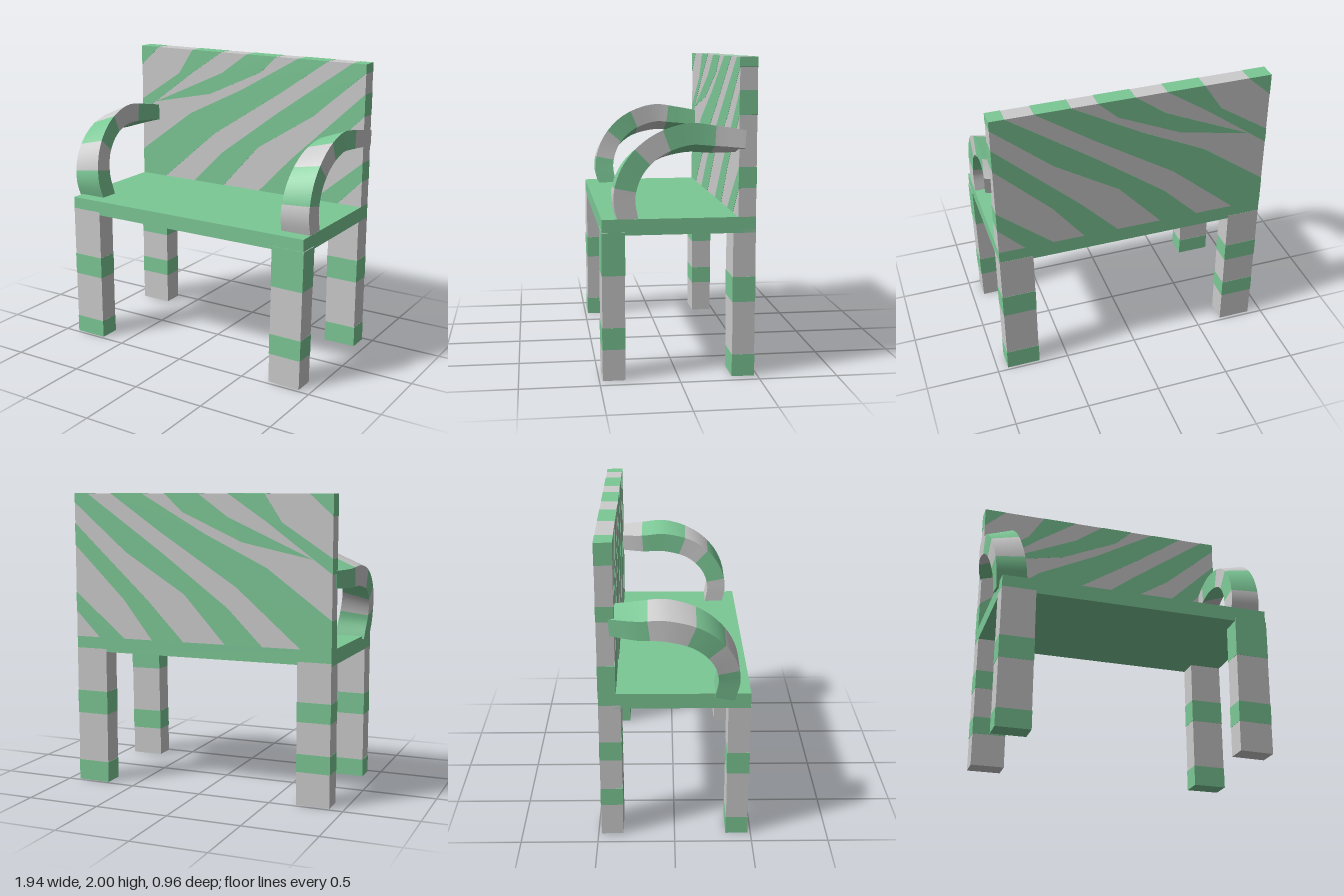
import * as THREE from 'three';
import { toCreasedNormals } from 'three/addons/utils/BufferGeometryUtils.js';

const grey = new THREE.MeshStandardMaterial({ color: 0xcccccc });
const green = new THREE.MeshStandardMaterial({ color: 0x7cc896 });

// Box given by its minimum and maximum corners
function box(name, [x0, y0, z0], [x1, y1, z1], material) {
  const mesh = new THREE.Mesh(new THREE.BoxGeometry(x1 - x0, y1 - y0, z1 - z0), material);
  mesh.position.set((x0 + x1) / 2, (y0 + y1) / 2, (z0 + z1) / 2);
  mesh.name = name;
  return mesh;
}

// Straight leg hanging from its top, with painted bands
function leg(name, x, z, bands, tilt = 0) {
  const H = 0.94, w = 0.1125, d = 0.071, e = 0.0015;
  const group = new THREE.Group();
  group.name = name;
  group.add(box('legPost', [-w, -H, -d], [w, 0, d], grey));
  for (const [a, b] of bands) {
    const low = a === 0 ? -e : a;
    group.add(box('legBand', [-w - e, low - H, -d - e], [w + e, b - H, d + e], green));
  }
  group.position.set(x, H, z);
  group.rotation.z = tilt;
  return group;
}

// Curved armrest: rectangular sections [x, y, z, halfWidth, sideways rise, halfThickness]
function armrest(name, rows, stops, firstGreen) {
  const path = new THREE.CatmullRomCurve3(rows.map(r => new THREE.Vector3(r[0], r[1], r[2])));
  const sizes = new THREE.CatmullRomCurve3(rows.map(r => new THREE.Vector3(r[3], r[4], r[5])));
  const N = 48, pos = [], idx = [];
  for (let i = 0; i <= N; i++) {
    const t = i / N, c = path.getPoint(t), s = sizes.getPoint(t), tan = path.getTangent(t);
    const n = new THREE.Vector3(0, -tan.z, tan.y).normalize().multiplyScalar(s.z);
    for (const [a, b] of [[1, 1], [-1, 1], [-1, -1], [1, -1]]) {
      pos.push(c.x + a * s.x, c.y + a * s.y + b * n.y, c.z + b * n.z);
    }
  }
  idx.push(0, 1, 2, 0, 2, 3);
  for (let i = 0; i < N; i++) {
    for (let j = 0; j < 4; j++) {
      const A = i * 4 + j, B = i * 4 + (j + 1) % 4;
      idx.push(B, A, A + 4, B, A + 4, B + 4);
    }
  }
  const e = N * 4;
  idx.push(e, e + 2, e + 1, e, e + 3, e + 2);

  let geo = new THREE.BufferGeometry();
  geo.setAttribute('position', new THREE.Float32BufferAttribute(pos, 3));
  geo.setIndex(idx);
  geo = toCreasedNormals(geo, 0.6);

  // Alternate the two colours along the length
  geo.clearGroups();
  let start = 0;
  [...stops, 1].forEach((stop, k) => {
    const end = stop === 1 ? idx.length : 6 + Math.round(stop * N) * 24;
    geo.addGroup(start, end - start, (k + (firstGreen ? 1 : 0)) % 2);
    start = end;
  });
  const mesh = new THREE.Mesh(geo, [grey, green]);
  mesh.name = name;
  return mesh;
}

export function createModel() {
  const model = new THREE.Group();
  model.name = 'bench';

  // Seat and backrest
  model.add(box('seat', [-0.905, 0.92, -0.478], [0.926, 1.02, 0.478], green));
  model.add(box('backrest', [-0.905, 1.02, -0.478], [0.926, 2, -0.368], grey));

  // Diagonal stripes running through the backrest
  const L = -0.906, R = 0.927, T = 2, B = 1.02;
  const stripes = [
    [[L, T], [-0.75, T], [L, 1.86]],
    [[-0.45, T], [-0.2, T], [-0.47, 1.82], [L, 1.5], [L, 1.6], [-0.57, 1.82]],
    [[0.01, T], [0.25, T], [0.12, 1.88], [-0.3, 1.69], [-0.78, 1.59], [-0.2, 1.85]],
    [[0.42, T], [0.65, T], [0.27, 1.74], [-0.26, 1.4], [-0.7, B], [L, B], [L, 1.21], [-0.47, 1.53], [-0.04, 1.74]],
    [[0.83, T], [R, T], [R, 1.94], [0.54, 1.61], [0.11, 1.34], [-0.18, B], [-0.44, B], [-0.2, 1.26], [0.27, 1.61]],
    [[R, 1.8], [R, 1.65], [0.56, 1.29], [0.35, B], [0.12, B], [0.38, 1.29]],
    [[R, 1.33], [R, 1.2], [0.75, B], [0.56, B]],
  ];
  for (const points of stripes) {
    const shape = new THREE.Shape(points.map(([x, y]) => new THREE.Vector2(x, y === T ? T + 0.001 : y)));
    const geo = new THREE.ExtrudeGeometry(shape, { depth: 0.113, bevelEnabled: false });
    const stripe = new THREE.Mesh(geo, green);
    stripe.position.z = -0.4795;
    stripe.name = 'backrestStripe';
    model.add(stripe);
  }

  // Legs
  model.add(leg('frontRightLeg', -0.7925, 0.408, [[0, 0.12], [0.45, 0.6]]));
  model.add(leg('frontLeftLeg', 0.8175, 0.408, [[0.2, 0.34], [0.67, 0.94]], -0.013));
  model.add(leg('backRightLeg', -0.7925, -0.408, [[0.22, 0.34], [0.55, 0.68]]));
  model.add(leg('backLeftLeg', 0.8135, -0.408, [[0, 0.14], [0.48, 0.64]]));

  // Armrests, both leaning the same way
  const side = [
    [0.99, 0.312, 0.062], [1.15, 0.338, 0.067], [1.31, 0.285, 0.067], [1.44, 0.15, 0.067],
    [1.505, -0.05, 0.067], [1.495, -0.22, 0.062], [1.485, -0.4, 0.055],
  ];
  const rows = (xs, widths, rises) =>
    side.map(([y, z, h], i) => [xs[i], y, z, widths[i], rises[i], h]);
  model.add(armrest('rightArmrest',
    rows([-0.816, -0.838, -0.863, -0.882, -0.888, -0.868, -0.828],
      [0.104, 0.1, 0.095, 0.09, 0.086, 0.084, 0.078],
      [0, 0.01, 0.02, 0.03, 0.038, 0.035, 0.02]),
    [0.2, 0.38, 0.55, 0.78], true));
  model.add(armrest('leftArmrest',
    rows([0.82, 0.823, 0.828, 0.835, 0.841, 0.852, 0.884],
      [0.104, 0.1, 0.095, 0.09, 0.085, 0.084, 0.082],
      [0, 0.005, 0.012, 0.02, 0.03, 0.03, 0.02]),
    [0.2, 0.42, 0.56, 0.84], false));

  return model;
}
